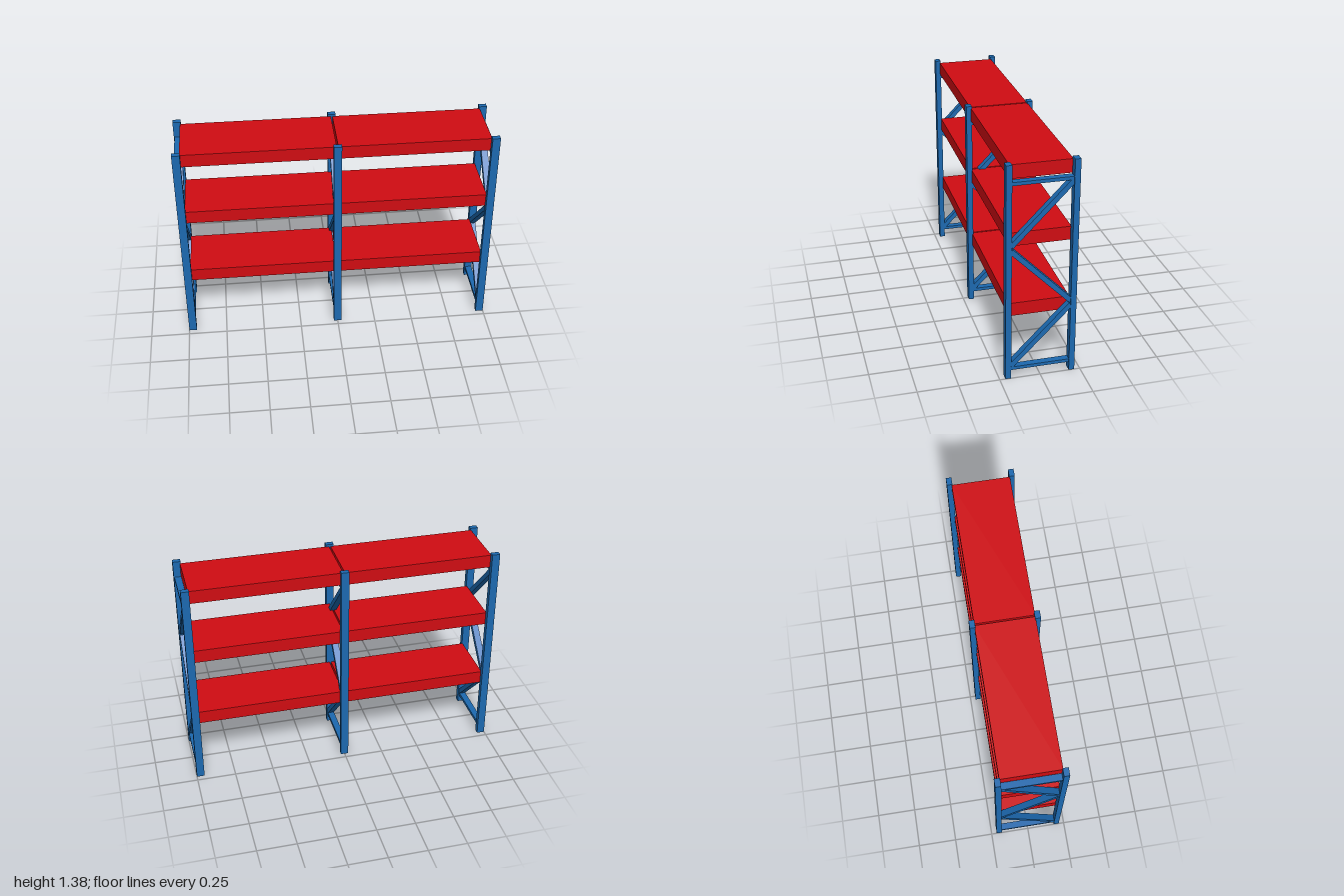
import * as THREE from 'three';

export function createModel() {
  const model = new THREE.Group();
  model.name = 'storageRack';
  const blue = new THREE.MeshStandardMaterial({ color: 0x1c69b0 });
  const red = new THREE.MeshStandardMaterial({ color: 0xd00c12 });

  const box = (parent, name, material, [w, h, d], [x, y, z]) => {
    const mesh = new THREE.Mesh(new THREE.BoxGeometry(w, h, d), material);
    mesh.name = name;
    mesh.position.set(x, y, z);
    parent.add(mesh);
    return mesh;
  };

  const height = 1.38, postW = 0.05, postD = 0.035, postZ = 0.1975;
  const braceW = 0.042;

  // Upright frames: two posts, two cross bars and a zigzag of diagonals
  for (const [name, x] of [['rightFrame', -0.975], ['middleFrame', 0], ['leftFrame', 0.975]]) {
    const frame = new THREE.Group();
    frame.name = name;
    frame.position.x = x;
    model.add(frame);

    box(frame, 'frontPost', blue, [postW, height, postD], [0, height / 2, postZ]);
    box(frame, 'backPost', blue, [postW, height, postD], [0, height / 2, -postZ]);
    box(frame, 'lowerCrossBar', blue, [braceW, 0.021, 0.37], [0, 0.066, 0]);
    box(frame, 'upperCrossBar', blue, [braceW, 0.021, 0.37], [0, 1.265, 0]);

    // Each diagonal runs from its height at the front to its height at the back
    for (const [yFront, yBack] of [[0.082, 0.455], [0.848, 0.48], [0.878, 1.252]]) {
      const rise = yBack - yFront, run = 0.364;
      const brace = box(frame, 'diagonalBrace', blue,
        [braceW, 0.031, Math.hypot(rise, run)], [0, (yFront + yBack) / 2, 0]);
      brace.rotation.x = Math.atan2(rise, run);
    }
  }

  // Shelves: three levels in each of the two bays
  for (const y of [0.447, 0.905, 1.323]) {
    for (const side of [-1, 1]) {
      box(model, side < 0 ? 'rightShelf' : 'leftShelf', red, [0.95, 0.084, 0.37], [side * 0.48, y, 0]);
    }
  }
  return model;
}
